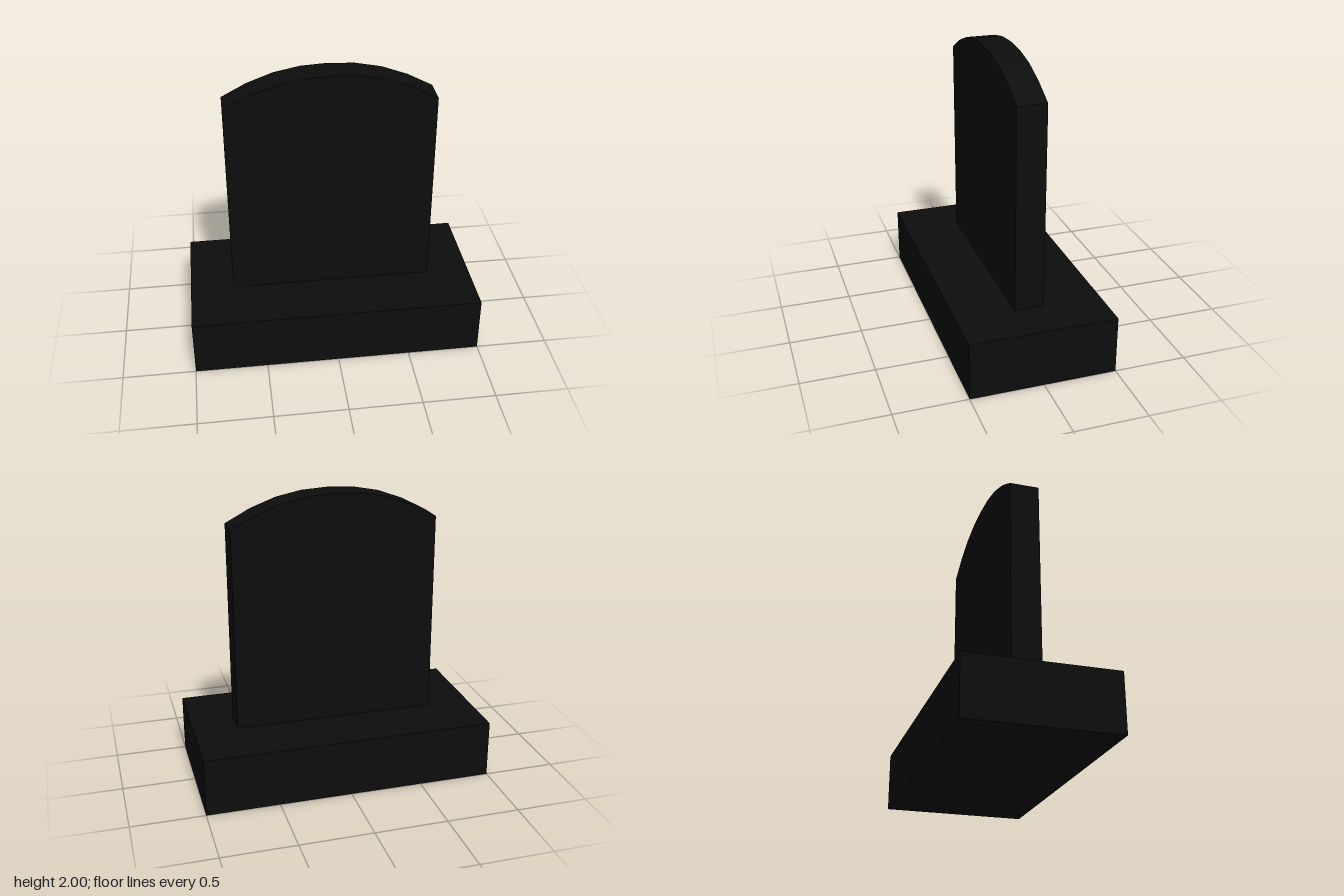
import * as THREE from 'three';

export function createModel() {
  const group = new THREE.Group();
  const blackStone = new THREE.MeshStandardMaterial({ color: 0x0d0d0d });
  blackStone.name = 'blackStone';

  // Rectangular plinth
  const base = new THREE.Mesh(new THREE.BoxGeometry(2, 0.4, 1), blackStone);
  base.name = 'base';
  base.position.y = 0.2;
  group.add(base);

  // Upright slab with a faceted arched top, mirrored about the middle
  const halfArch = [[0.7, 1.8], [0.53, 1.89], [0.355, 1.955], [0.18, 1.99]];
  const outline = [
    [-0.7, 0.4], [0.7, 0.4],
    ...halfArch,
    [0, 2],
    ...halfArch.map(([x, y]) => [-x, y]).reverse(),
  ];
  const shape = new THREE.Shape(outline.map(([x, y]) => new THREE.Vector2(x, y)));
  const slabGeometry = new THREE.ExtrudeGeometry(shape, { depth: 0.2, bevelEnabled: false });
  slabGeometry.translate(0, 0, -0.1);
  const slab = new THREE.Mesh(slabGeometry, blackStone);
  slab.name = 'slab';
  group.add(slab);

  return group;
}
